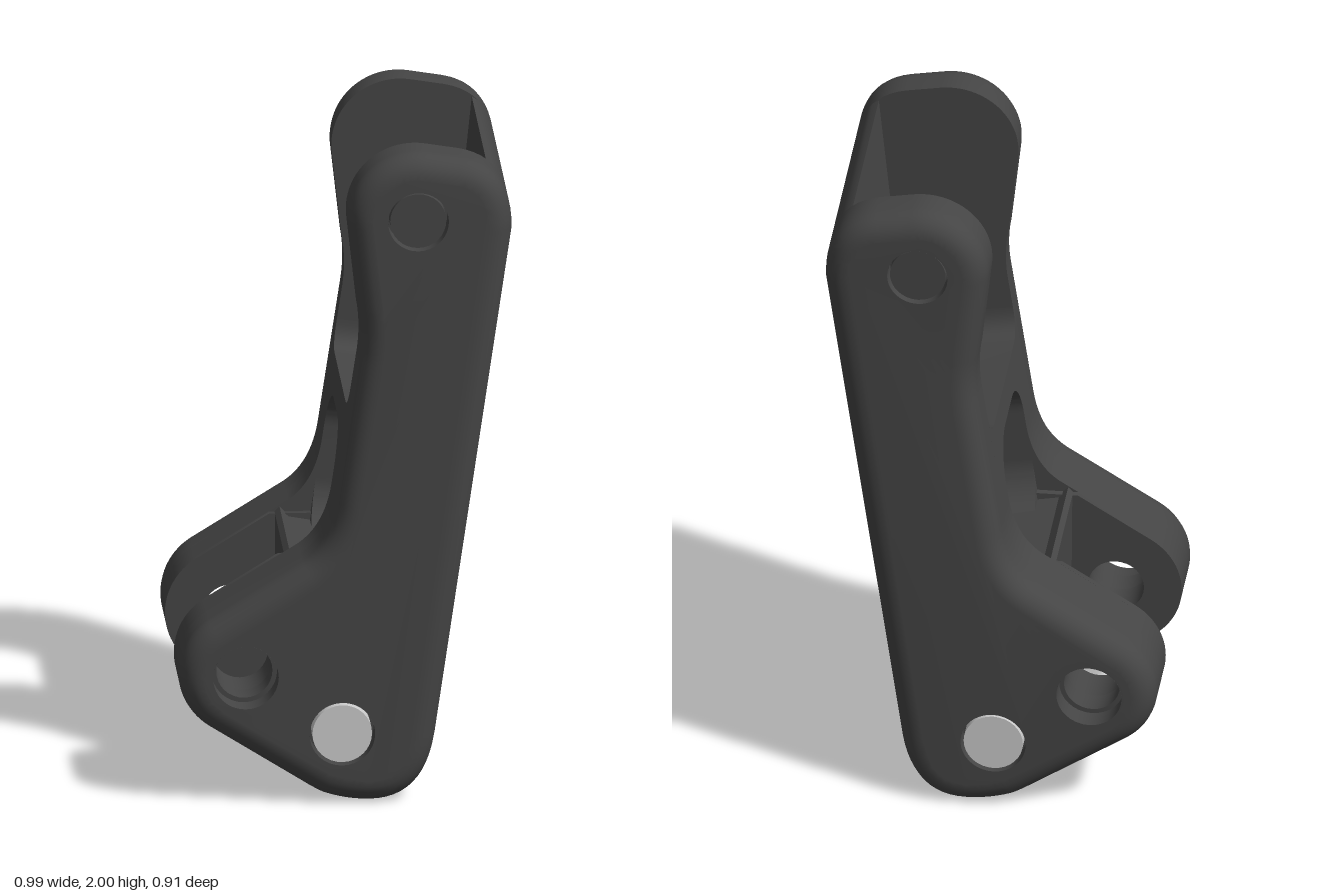
import * as THREE from 'three';
import { mergeGeometries, toCreasedNormals } from 'three/addons/utils/BufferGeometryUtils.js';

const deg = Math.PI / 180;
const V = (x, y) => new THREE.Vector2(x, y);
const AXLE = [-0.3, 0.4], PIN = [-0.015, 0.22], BOSS = [0.21, 1.8];
const HALF = 0.457, POCKET = 0.31, RECESS = 0.21, SLOT = 0.19, ROUND = 0.07;

// side profile of the whole lever, counter-clockwise
function outlinePoints() {
  const s = new THREE.Shape();
  s.moveTo(-0.07, 0.025);
  s.quadraticCurveTo(0, 0, 0.07, 0);
  s.quadraticCurveTo(0.23, 0, 0.262, 0.2);
  s.lineTo(0.49, 1.76);
  s.quadraticCurveTo(0.49, 1.95, 0.34, 1.98);
  s.absarc(0.205, 1.8, 0.2, 80 * deg, 188 * deg, false);
  s.lineTo(0.035, 1.52);
  s.quadraticCurveTo(0.05, 1.44, 0.035, 1.35);
  s.lineTo(-0.03, 0.92);
  s.quadraticCurveTo(-0.05, 0.79, -0.13, 0.735);
  s.absarc(AXLE[0], AXLE[1], 0.195, 123 * deg, 237 * deg, false);
  s.lineTo(-0.13, 0.06);
  s.quadraticCurveTo(-0.1, 0.04, -0.07, 0.025);
  const p = s.getPoints(12);
  return p.filter((a, i) => a.distanceTo(p[(i + 1) % p.length]) > 1e-4);
}

// move a closed outline inward by d
function inset(pts, d) {
  const n = pts.length;
  return pts.map((p, i) => {
    const a = p.clone().sub(pts[(i + n - 1) % n]).normalize();
    const b = pts[(i + 1) % n].clone().sub(p).normalize();
    const m = V(-a.y - b.y, a.x + b.x).normalize();
    return p.clone().addScaledVector(m, d / Math.max(0.5, m.x * -a.y + m.y * a.x));
  });
}

function shapeWithHoles(pts, holes = []) {
  const s = new THREE.Shape(pts);
  for (const [[x, y], r] of holes) s.holes.push(new THREE.Path().absarc(x, y, r, 0, Math.PI * 2, true));
  return s;
}

const plain = (g) => {
  const out = g.index ? g.toNonIndexed() : g;
  out.deleteAttribute('uv');
  return out;
};
const crease = (g) => toCreasedNormals(g, 0.6);

function slab(pts, z0, z1, holes) {
  const g = new THREE.ExtrudeGeometry(shapeWithHoles(pts, holes),
    { depth: z1 - z0, bevelEnabled: false, curveSegments: 16 });
  return plain(g.translate(0, 0, z0));
}

// rounded outer edge of a cheek, built from shrinking outlines
function roundedRim(pts) {
  const pos = [], steps = 6, n = pts.length;
  const rings = [];
  for (let k = 0; k <= steps; k++) {
    const t = (k / steps) * Math.PI / 2;
    const z = HALF - ROUND + ROUND * Math.sin(t);
    rings.push(inset(pts, ROUND * (1 - Math.cos(t))).map((p) => [p.x, p.y, z]));
  }
  for (let k = 0; k < steps; k++) {
    for (let i = 0; i < n; i++) {
      const j = (i + 1) % n;
      const a = rings[k][i], b = rings[k][j], c = rings[k + 1][j], d = rings[k + 1][i];
      pos.push(...a, ...b, ...c, ...a, ...c, ...d);
    }
  }
  const g = new THREE.BufferGeometry();
  g.setAttribute('position', new THREE.Float32BufferAttribute(pos, 3));
  g.computeVertexNormals();
  return g;
}

function mirrorZ(g) {
  const m = g.clone();
  for (const name of ['position', 'normal']) {
    const a = m.attributes[name];
    for (let i = 0; i < a.count; i += 3) {
      const v = [0, 2, 1].map((o) => [a.getX(i + o), a.getY(i + o), -a.getZ(i + o)]);
      v.forEach((q, o) => a.setXYZ(i + o, ...q));
    }
  }
  return m;
}

export function createModel() {
  const model = new THREE.Group();
  const dark = new THREE.MeshStandardMaterial({ color: 0x454545 });
  const darkOpen = new THREE.MeshStandardMaterial({ color: 0x454545, side: THREE.DoubleSide });
  const steel = new THREE.MeshStandardMaterial({ color: 0xcccccc });
  const add = (name, geo, mat = dark) => {
    const m = new THREE.Mesh(geo, mat);
    m.name = name;
    model.add(m);
    return m;
  };
  const disc = (name, [x, y], r, z0, z1, mat, open = false) => {
    const g = new THREE.CylinderGeometry(r, r, z1 - z0, 32, 1, open).rotateX(Math.PI / 2);
    add(name, g, mat).position.set(x, y, (z0 + z1) / 2);
  };

  const outline = outlinePoints();
  const backX = (y) => 0.262 + (y - 0.2) * (0.228 / 1.56);
  const axleHole = [[AXLE, 0.083]];

  // cheek: full profile with rounded outer edge and three round recesses
  const cap = plain(new THREE.ShapeGeometry(
    shapeWithHoles(inset(outline, ROUND), [[AXLE, 0.097], [PIN, 0.097], [BOSS, 0.09]]), 20));
  cap.translate(0, 0, HALF);
  const cheek = crease(mergeGeometries([
    slab(outline, POCKET, HALF - ROUND, axleHole), roundedRim(outline), cap]));

  // fork arm: thickens the lower half of each cheek
  const lower = (y, extra) => {
    const i = outline.findIndex((p) => p.y > y);
    const low = outline.filter((p) => p.y <= y);
    low.splice(i, 0, ...extra);
    return low;
  };
  const arm = crease(mergeGeometries([
    slab(lower(0.921, [V(backX(0.92), 0.92)]), RECESS, POCKET, axleHole),
    slab(lower(0.7, [V(backX(0.7), 0.7), V(-0.187, 0.7)]), SLOT, RECESS, axleHole)]));

  add('frontCheek', cheek);
  add('backCheek', mirrorZ(cheek));
  add('frontForkArm', arm);
  add('backForkArm', mirrorZ(arm));

  // spine: sloped outer wall, stepped thinner at the top
  const spine = [V(0.165, 0.6), V(backX(0.6), 0.6),
    ...outline.filter((p) => p.x > 0.425 && p.y > 1.7),
    V(0.42, 1.94), V(0.38, 1.55), V(0.31, 1.55)];
  add('spine', crease(slab(spine, -POCKET, POCKET)));

  // web above the fork, hollowed round the pins
  const R = 0.26, web = [V(-0.17, 0.7), V(-0.155, 0.715), V(-0.13, 0.69), V(0.2, 0.63), V(backX(0.63), 0.63)];
  web.push(...outline.filter((p) => p.x > 0.15 && p.y < 0.21).reverse());
  for (let k = 0; k <= 16; k++) {
    const a = (-48 + (174 * k) / 16) * deg;
    web.push(V(PIN[0] + R * Math.cos(a), PIN[1] + R * Math.sin(a)));
  }
  add('web', crease(slab(web.reverse(), -RECESS, RECESS)));

  // bridge: floor of the upper pocket, with the rounded recess below it
  const b = new THREE.Shape();
  b.moveTo(-POCKET, 0.6);
  b.lineTo(POCKET, 0.6);
  b.lineTo(POCKET, 1.26);
  b.quadraticCurveTo(POCKET, 1.18, 0.23, 1.18);
  b.lineTo(-0.23, 1.18);
  b.quadraticCurveTo(-POCKET, 1.18, -POCKET, 1.26);
  const r = 0.13, w = RECESS - r, lo = 0.67 + r, hi = 1.09 - r;
  const hole = new THREE.Path();
  hole.absarc(w, lo, r, 0, -Math.PI / 2, true);
  hole.absarc(-w, lo, r, -Math.PI / 2, -Math.PI, true);
  hole.absarc(-w, hi, r, Math.PI, Math.PI / 2, true);
  hole.absarc(w, hi, r, Math.PI / 2, 0, true);
  b.holes.push(hole);
  const bridge = plain(new THREE.ExtrudeGeometry(b, { depth: 0.26, bevelEnabled: false, curveSegments: 10 }));
  const bp = bridge.attributes.position;
  for (let i = 0; i < bp.count; i++) {
    const z = -bp.getX(i), y = bp.getY(i), d = bp.getZ(i);
    bp.setXYZ(i, -0.03 + 0.151 * (y - 0.92) + d, y - 0.15 * d, z);
  }
  add('bridge', crease(bridge));

  // recess walls, top bosses and headed pins on both cheeks
  for (const [side, s] of [['front', 1], ['back', -1]]) {
    const at = (name, c, rad, z0, z1, mat, open) =>
      disc(side + name, c, rad, Math.min(s * z0, s * z1), Math.max(s * z0, s * z1), mat, open);
    at('AxleCounterbore', AXLE, 0.097, HALF - ROUND, HALF, darkOpen, true);
    at('PinRecess', PIN, 0.097, HALF - ROUND, HALF, darkOpen, true);
    at('BossRecess', BOSS, 0.09, HALF - ROUND, HALF, darkOpen, true);
    at('Boss', BOSS, 0.083, 0.38, 0.445, dark);
    at('Pin', PIN, 0.088, SLOT, 0.452, steel);
    at('PinHead', PIN, 0.18, 0.155, SLOT, steel);
  }
  return model;
}
